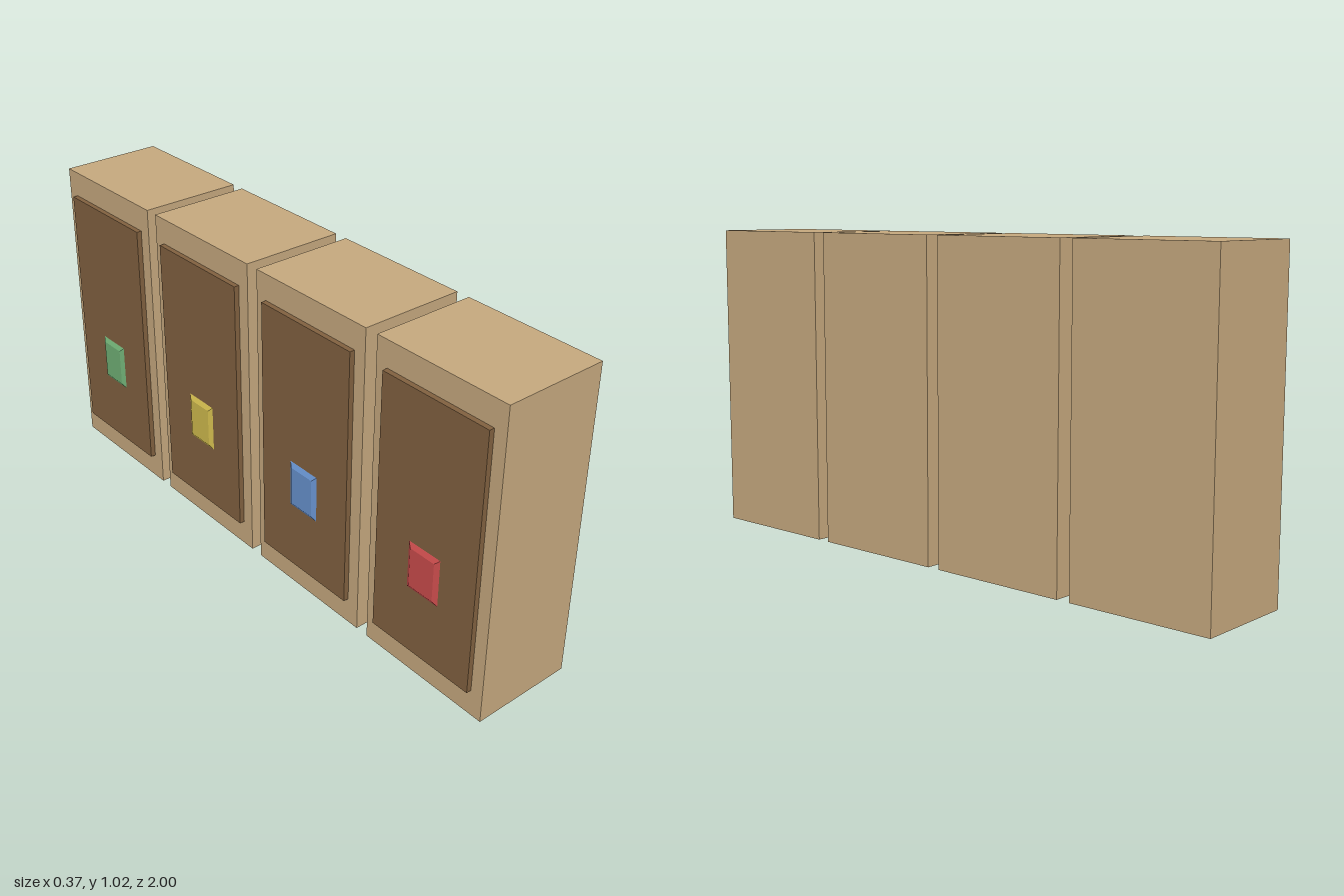
import * as THREE from 'three';

const material = (name, color) => {
  const m = new THREE.MeshStandardMaterial({ color });
  m.name = name;
  return m;
};

// Box given by its x range, y range and depth along z
function block(name, mat, [x0, x1], [y0, y1], depth) {
  const mesh = new THREE.Mesh(new THREE.BoxGeometry(x1 - x0, y1 - y0, depth), mat);
  mesh.name = name;
  mesh.position.set((x0 + x1) / 2, (y0 + y1) / 2, 0);
  return mesh;
}

// Thin plate whose outer (-x) face is inset, giving sloped edges
function handlePlate(mat) {
  const thick = 0.009, height = 0.156, width = 0.12, inset = 0.014;
  const geo = new THREE.BoxGeometry(thick, height, width);
  const p = geo.attributes.position;
  for (let i = 0; i < p.count; i++) {
    if (p.getX(i) < 0) {
      p.setY(i, p.getY(i) - Math.sign(p.getY(i)) * inset);
      p.setZ(i, p.getZ(i) - Math.sign(p.getZ(i)) * inset);
    }
  }
  geo.computeVertexNormals();
  const mesh = new THREE.Mesh(geo, mat);
  mesh.name = 'handle';
  mesh.position.set(-0.1785, 0.384, 0);
  return mesh;
}

export function createModel() {
  const group = new THREE.Group();
  group.name = 'lockerRow';

  const wood = material('light wood', 0xc4a77d);
  const darkWood = material('dark wood', 0x80603f);
  const handleColors = [
    material('green', 0x6fae74),
    material('yellow', 0xcdb84c),
    material('blue', 0x6690cc),
    material('red', 0xc84b4b),
  ];

  // Four cabinets in a row, from back to front, doors facing -x
  handleColors.forEach((color, i) => {
    const cabinet = new THREE.Group();
    cabinet.name = 'cabinet' + (i + 1);
    cabinet.position.z = (i - 1.5) * 0.511;
    cabinet.add(
      block('body', wood, [-0.157, 0.183], [0, 1.022], 0.467),
      block('door', darkWood, [-0.174, -0.157], [0.086, 0.938], 0.383),
      handlePlate(color),
    );
    group.add(cabinet);
  });

  return group;
}
